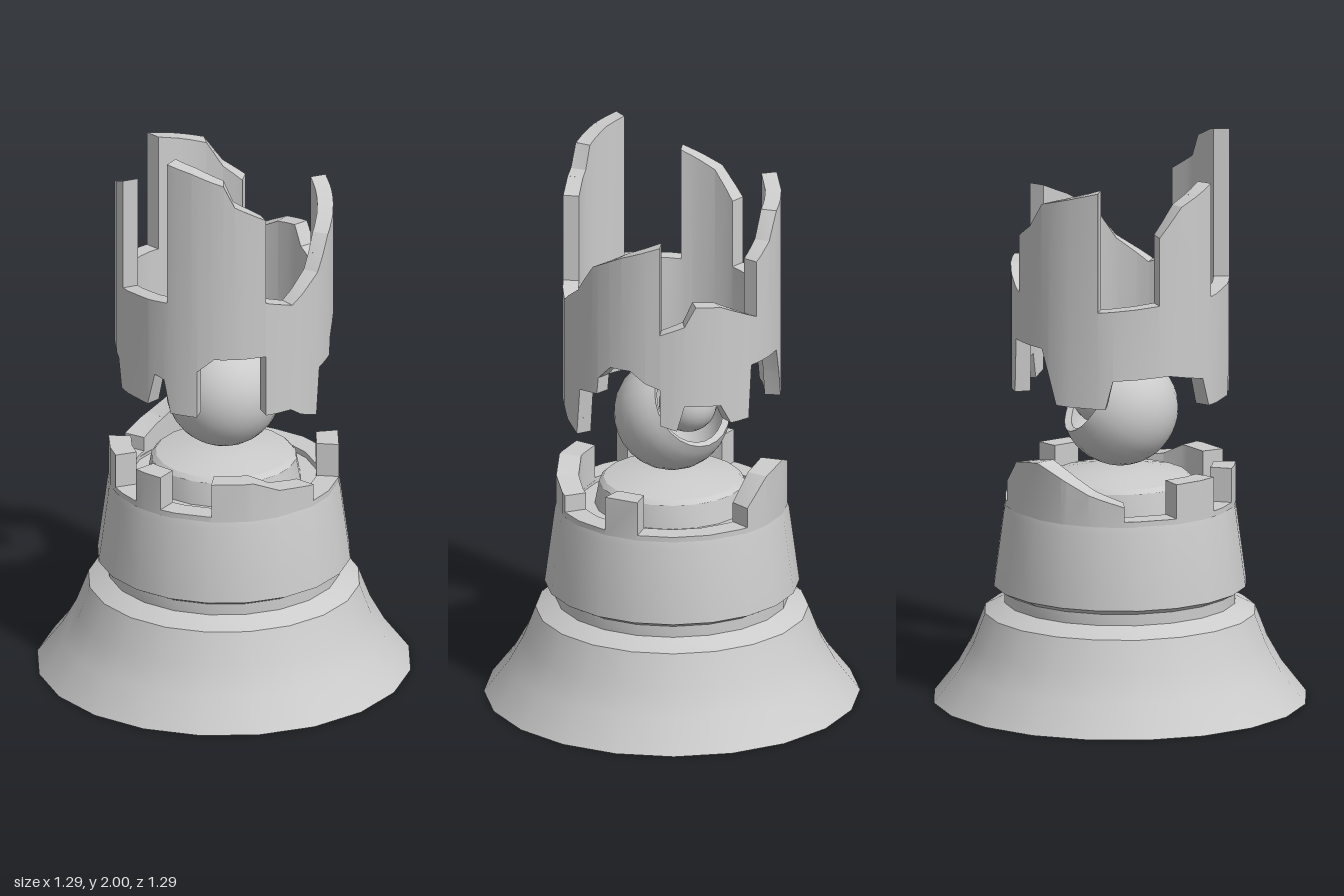
import * as THREE from 'three';
import { toCreasedNormals } from 'three/addons/utils/BufferGeometryUtils.js';

const SIDES = 20;
const material = new THREE.MeshStandardMaterial({ color: 0xcccccc, side: THREE.DoubleSide });

function addMesh(parent, name, geometry, crease = 0.45) {
  const mesh = new THREE.Mesh(toCreasedNormals(geometry, crease), material);
  mesh.name = name;
  parent.add(mesh);
  return mesh;
}

function lathe(points, sides = SIDES) {
  return new THREE.LatheGeometry(points.map(([r, y]) => new THREE.Vector2(r, y)), sides);
}

// Height of an outline of [degrees, y] points; a repeated angle is a vertical step
function heightAt(outline, deg) {
  for (let i = 1; i < outline.length; i++) {
    const [a0, y0] = outline[i - 1], [a1, y1] = outline[i];
    if (deg <= a1 && a1 > a0) return y0 + (y1 - y0) * Math.max(0, (deg - a0) / (a1 - a0));
  }
  return outline[outline.length - 1][1];
}

// Round wall of given radii between a broken top outline and a broken bottom outline
function brokenWall(outer, inner, top, bottom) {
  const positions = [];
  const at = (r, deg, y) => {
    const a = THREE.MathUtils.degToRad(deg);
    return [r * Math.sin(a), y, r * Math.cos(a)];
  };
  const quad = (a, b, c, d) => positions.push(...a, ...b, ...c, ...a, ...c, ...d);
  const stops = new Set([...top, ...bottom].map((p) => p[0]));
  for (let i = 0; i <= SIDES; i++) stops.add(-180 + (i * 360) / SIDES);
  const angles = [...stops].sort((a, b) => a - b);
  const e = 0.001;
  for (let i = 0; i < angles.length - 1; i++) {
    const a = angles[i], b = angles[i + 1];
    const ta = heightAt(top, a + e), tb = heightAt(top, b - e);
    const ba = heightAt(bottom, a + e), bb = heightAt(bottom, b - e);
    quad(at(outer, a, ba), at(outer, b, bb), at(outer, b, tb), at(outer, a, ta));
    quad(at(inner, b, bb), at(inner, a, ba), at(inner, a, ta), at(inner, b, tb));
    quad(at(outer, a, ta), at(outer, b, tb), at(inner, b, tb), at(inner, a, ta));
    quad(at(inner, a, ba), at(inner, b, bb), at(outer, b, bb), at(outer, a, ba));
    // Upright faces where an outline steps
    const steps = [
      [heightAt(top, b + e), tb],
      [bb, heightAt(bottom, b + e)],
    ];
    for (const [lo, hi] of steps) {
      if (b < 180 && Math.abs(hi - lo) > 0.01) {
        quad(at(outer, b, lo), at(inner, b, lo), at(inner, b, hi), at(outer, b, hi));
      }
    }
  }
  const geometry = new THREE.BufferGeometry();
  geometry.setAttribute('position', new THREE.Float32BufferAttribute(positions, 3));
  geometry.computeVertexNormals();
  return geometry;
}

export function createModel() {
  const model = new THREE.Group();
  model.name = 'ruinedTower';

  // Flared foot, open underneath
  addMesh(model, 'flaredFoot', lathe([
    [0.645, 0], [0.56, 0.11], [0.51, 0.2], [0.468, 0.31], [0.4, 0.345], [0.4, 0.385],
  ]));

  // Drum above the neck, with a recessed floor
  addMesh(model, 'drum', lathe([
    [0.4, 0.385], [0.437, 0.405], [0.402, 0.67], [0.395, 0.7], [0.32, 0.7], [0.32, 0.69], [0.26, 0.69],
  ]));

  // Low domed plinth under the ball
  addMesh(model, 'domedPlinth', lathe([
    [0.265, 0.69], [0.25, 0.77], [0.235, 0.785], [0.12, 0.81], [0, 0.82],
  ]));

  // Broken parapet on the drum
  const parapetTop = [
    [-180, 0.89], [-165, 0.85], [-150, 0.8], [-132, 0.76], [-132, 0.71],
    [-105, 0.71], [-105, 0.83], [-80, 0.83], [-80, 0.71],
    [-60, 0.71], [-60, 0.83], [-44, 0.83], [-44, 0.71],
    [-17, 0.71], [-17, 0.83], [4, 0.83], [18, 0.79], [40, 0.77], [40, 0.71],
    [72, 0.71], [72, 0.83], [90, 0.83], [90, 0.71],
    [148, 0.71], [148, 0.78], [162, 0.87], [180, 0.89],
  ];
  addMesh(model, 'brokenParapet', brokenWall(0.397, 0.32, parapetTop, [[-180, 0.69], [180, 0.69]]));

  // Floating, broken tower wall
  const towerTop = [
    [-180, 1.8], [-146, 1.86], [-146, 1.44], [-113, 1.46], [-113, 1.7], [-100, 1.8],
    [-78, 1.86], [-78, 1.46], [-42, 1.48], [-42, 2], [-28, 1.98], [-11, 1.94], [-5, 1.86],
    [12, 1.8], [12, 1.49], [28, 1.46], [48, 1.54], [61, 1.65], [80, 1.71],
    [101, 1.76], [101, 1.44], [114, 1.47], [120, 1.54], [134, 1.53], [158, 1.46],
    [158, 1.66], [170, 1.71], [180, 1.8],
  ];
  const towerBottom = [
    [-180, 1.29], [-175, 1.2], [-170, 1.1], [-142, 1.1], [-138, 1.2], [-108, 1.21],
    [-85, 1.18], [-80, 1.08], [-55, 1.08], [-50, 1.2], [-44, 1.19], [-40, 1.07],
    [-25, 1.07], [-25, 1.24], [-16, 1.29], [12, 1.29], [12, 1.07], [27, 1.07],
    [34, 1.04], [47, 1.01], [50, 1.18], [64, 1.19], [65, 1.25], [73, 1.3], [85, 1.3],
    [93, 1.26], [101, 1.24], [101, 1.11], [110, 1.09], [114, 1.18], [134, 1.17],
    [140, 1.1], [152, 1.1], [154, 1.29], [180, 1.29],
  ];
  addMesh(model, 'brokenTowerWall', brokenWall(0.375, 0.32, towerTop, towerBottom));

  // Hollow ball with a round opening, tilted up and backwards
  const opening = THREE.MathUtils.degToRad(128);
  const arc = (radius, from, to, steps = 14) => Array.from({ length: steps + 1 }, (_, i) => {
    const t = from + ((to - from) * i) / steps;
    return [radius * Math.sin(t), -radius * Math.cos(t)];
  });
  const shell = addMesh(model, 'hollowBall', lathe([
    ...arc(0.2, 0, opening), ...arc(0.175, opening, 0),
  ], 24), 0.6);
  shell.position.y = 1.02;
  shell.quaternion.setFromUnitVectors(
    new THREE.Vector3(0, 1, 0), new THREE.Vector3(0.43, 0.52, -0.73).normalize());

  // Small ball inside the hollow one
  const core = addMesh(model, 'innerBall', new THREE.SphereGeometry(0.1, 20, 14), 0.6);
  core.position.set(0.025, 1.07, -0.065);

  return model;
}
